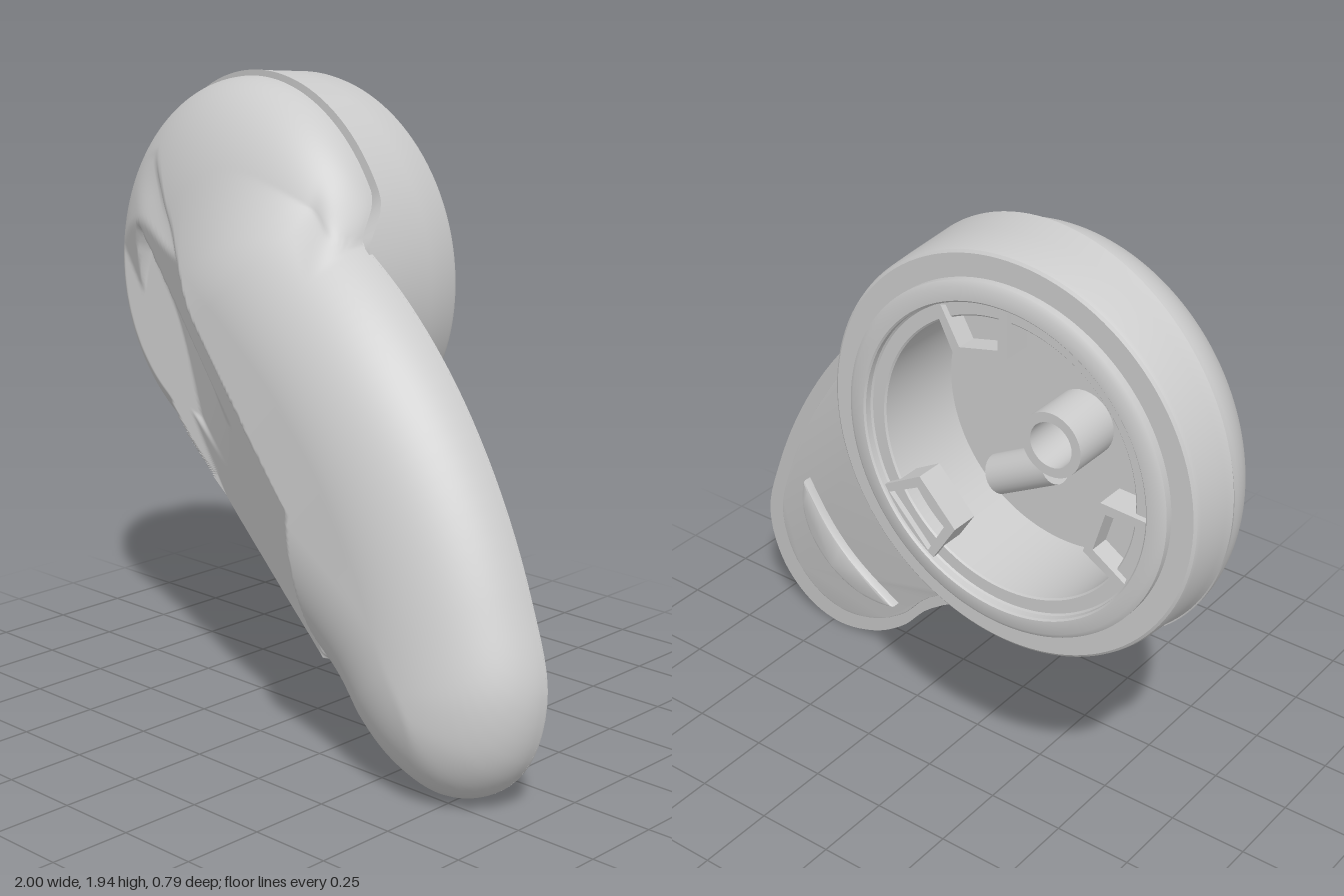
import * as THREE from 'three';
import { toCreasedNormals } from 'three/addons/utils/BufferGeometryUtils.js';

const V = (x, y) => new THREE.Vector2(x, y);
const { smoothstep, lerp, clamp } = THREE.MathUtils;
const CX = -0.37, CY = 1.315;                    // housing axis
const DOME = { x: -0.385, y: 1.308, r: 0.613 };
const AX = 0.727, AY = -0.687;                   // direction along the arm

// outline of the arm; its upper end runs under the dome
const armOutline = new THREE.CatmullRomCurve3([
  [0.2, 1.485], [0.4, 1.335], [0.6, 1.13], [0.78, 0.875], [0.92, 0.6], [1, 0.36], [0.965, 0.16],
  [0.86, 0.04], [0.73, 0], [0.56, 0.04], [0.42, 0.13], [0.3, 0.255], [0, 0.45], [-0.37, 0.69],
  [-0.58, 0.88], [-0.7, 1.1], [-0.71, 1.38], [-0.64, 1.6], [-0.5, 1.72], [-0.3, 1.735], [-0.05, 1.64],
].map(([x, y]) => new THREE.Vector3(x, y, 0)), true).getPoints(110).slice(0, -1).map((p) => V(p.x, p.y));

const panel = [V(-0.66, 1.69), V(0.22, 0.77), V(0.285, 0.25), V(0.2, 0.1), V(-1.1, 0.6), V(-1.1, 1.6)];
const scoop = [V(-0.69, 1.45), V(-0.18, 0.91), V(-0.22, 0.71), V(-0.755, 1.045), V(-0.762, 1.2), V(-0.74, 1.38), V(-0.72, 1.44)];

// signed distance to a polygon, positive inside
function inset(poly, x, y) {
  let best = Infinity, inside = false;
  for (let i = 0, j = poly.length - 1; i < poly.length; j = i++) {
    const a = poly[i], b = poly[j], ex = b.x - a.x, ey = b.y - a.y;
    const t = clamp(((x - a.x) * ex + (y - a.y) * ey) / (ex * ex + ey * ey), 0, 1);
    best = Math.min(best, Math.hypot(x - a.x - ex * t, y - a.y - ey * t));
    if ((a.y > y) !== (b.y > y) && x < a.x + (ex * (y - a.y)) / ey) inside = !inside;
  }
  return inside ? best : -best;
}
const along = (x, y) => x * AX + y * AY;
const across = (x, y) => y * AX - x * AY;
const backZ = (x, y) => 0.145 + 0.08 * along(x, y) - 0.043 * across(x, y);
const domeR = (x, y) => Math.hypot(x - DOME.x, y - DOME.y) / DOME.r;
const rounded = (d, w) => Math.sqrt(1 - (1 - clamp(d / w, 0, 1)) ** 2);

// slanted seam of the dome, running up to the arm at the upper notch
function seamZ(x, y, d) {
  return lerp(-0.21 + 0.115 * (x + 1), backZ(x, y), smoothstep(d, -0.09, 0) * smoothstep(x, 0.05, 0.2));
}

// height of the front shell: dome and arm blended, then panel and scoop cut in
function frontZ(x, y) {
  const r = domeR(x, y), d = inset(armOutline, x, y), s = along(x, y), n = across(x, y), back = backZ(x, y);
  const H = (0.265 + 0.018 * Math.exp(-(((s + 0.5) / 0.4) ** 2))) * smoothstep(s, -1.75, -1);
  const dome = r <= 1 ? seamZ(x, y, d) + 0.33 * Math.sqrt(1 - r * r) : -1;
  const arm = d >= 0 ? back + H * rounded(d, 0.36) : -1;
  const k = 0.06, h = Math.max(k - Math.abs(dome - arm), 0) / k;
  let z = Math.max(dome, arm) + h * h * k / 4;
  const ip = inset(panel, x, y);
  if (ip > 0) {
    // flat facet with a crisp lower edge and a small step along its upper edge
    const full = d > 0 ? Math.max(z, back + H * rounded(d, 0.08) * smoothstep(s, -1.1, -0.5)) : z;
    const flat = 0.32 + 0.15 * (s + 0.37) + 0.4 * (n - 0.72);
    const step = 0.02 * smoothstep(n, 0.6, 0.74) * smoothstep(s, -1.7, -1.5);
    const cut = Math.min(full - step, Math.max(flat, back + 0.01));
    z = lerp(z, cut, smoothstep(ip, 0, 0.02));
  }
  const is = inset(scoop, x, y);
  if (is > 0) {
    const depth = 0.05 * (1 - smoothstep(s, -1.3, -0.7));
    z = Math.min(z, Math.max(back + 0.01, z - depth * smoothstep(is, 0, 0.025)));
  }
  return z;
}

// polar grid over the joined outline of dome and arm
function shellGeometry() {
  const N = 360, M = 100, oy = 0.9, pos = [], idx = [], reach = [];
  for (let i = 0; i < N; i++) {
    const a = (i / N) * Math.PI * 2;
    let lo = 0, hi = 2;
    for (let q = 0; q < 24; q++) {
      const m = (lo + hi) / 2, x = m * Math.cos(a), y = oy + m * Math.sin(a);
      if (domeR(x, y) <= 1 || inset(armOutline, x, y) >= 0) lo = m; else hi = m;
    }
    reach.push(lo);
  }
  for (let j = 0; j <= M; j++) {
    const t = 1 - (1 - j / M) ** 1.5;
    for (let i = 0; i < N; i++) {
      const a = (i / N) * Math.PI * 2;
      const x = t * reach[i] * Math.cos(a), y = oy + t * reach[i] * Math.sin(a);
      pos.push(x, y, frontZ(x, y));
      if (j === M) continue;
      const p = j * N + i, q = j * N + (i + 1) % N;
      if (j) idx.push(p, p + N, q);
      idx.push(q, p + N, q + N);
    }
  }
  const g = new THREE.BufferGeometry();
  g.setAttribute('position', new THREE.Float32BufferAttribute(pos, 3));
  g.setIndex(idx);
  g.computeVertexNormals();
  return g;
}

// round housing: floor, bore, stepped lip, outer wall up to the seam
function housingGeometry() {
  const profile = [
    [0, -0.06], [0.42, -0.06], [0.42, -0.355], [0.425, -0.36], [0.465, -0.36], [0.47, -0.365], [0.47, -0.385],
    [0.475, -0.39], [0.515, -0.39], [0.53, -0.38], [0.53, -0.358], [0.597, -0.358], [0.605, -0.352], [0.609, -0.34],
    [0.617, -0.23], [0.625, 0], [0.57, 0]];
  const g = new THREE.LatheGeometry(profile.map(([r, z]) => V(r, z)), 120);
  g.rotateX(Math.PI / 2).translate(CX, CY, 0);
  const p = g.attributes.position, rows = profile.length;
  for (let i = 0; i < p.count; i++) {
    if (i % rows < rows - 2) continue;
    const x = p.getX(i), y = p.getY(i), a = Math.atan2(y - CY, x - CX);
    const rx = CX + 0.615 * Math.cos(a), ry = CY + 0.615 * Math.sin(a), d = inset(armOutline, rx, ry);
    p.setZ(i, lerp(seamZ(rx, ry, d), backZ(rx, ry) + 0.01, smoothstep(d, -0.02, 0.01)));
  }
  return toCreasedNormals(g, 0.6);
}

// flat part lying on the sloped back of the arm
function backPlate(points, depth, bevel) {
  const g = new THREE.ExtrudeGeometry(new THREE.Shape(points), {
    depth: depth - bevel, bevelEnabled: bevel > 0, bevelThickness: bevel, bevelSize: bevel, bevelOffset: -bevel, bevelSegments: 2 });
  const p = g.attributes.position;
  for (let i = 0; i < p.count; i++) {
    p.setZ(i, Math.max(-0.03, p.getZ(i) - depth + backZ(p.getX(i), p.getY(i))));
  }
  return toCreasedNormals(g, 0.6);
}

export function createModel() {
  const group = new THREE.Group();
  const mat = new THREE.MeshStandardMaterial({ color: 0xcccccc });
  const open = new THREE.MeshStandardMaterial({ color: 0xcccccc, side: THREE.DoubleSide });
  const add = (name, geometry, material = mat) => {
    const m = new THREE.Mesh(geometry, material);
    m.name = name;
    group.add(m);
    return m;
  };

  add('frontShell', shellGeometry(), open);
  add('housing', housingGeometry(), open);

  // back of the arm: rim flange and raised inner plate
  add('armBackFlange', backPlate(armOutline, 0.006, 0));
  add('armBackPlate', backPlate(armOutline.map((p) => V(0.24 + (p.x - 0.24) * 0.9, 0.8 + (p.y - 0.8) * 0.9)), 0.016, 0.004));

  // crescent hook near the tip
  const hook = [], mid = Math.atan2(AY, AX);
  for (let i = 0; i <= 20; i++) {
    const a = mid - 1.15 + (2.3 * i) / 20;
    hook.push(V(0.51 + 0.28 * Math.cos(a), 0.5 + 0.28 * Math.sin(a)));
  }
  for (let i = 1; i < 12; i++) {
    const t = i / 12, bulge = 0.05 * Math.sin(Math.PI * t);
    const p = hook[20].clone().lerp(hook[0], t);
    hook.push(V(p.x + AX * bulge, p.y + AY * bulge));
  }
  add('tipHook', backPlate(hook, 0.045, 0.008));

  // three locking pockets around the bore
  const pocketShape = new THREE.Shape([V(0.31, -0.09), V(0.472, -0.13), V(0.472, 0.13), V(0.31, 0.09)]);
  pocketShape.holes.push(new THREE.Path([V(0.335, -0.065), V(0.335, 0.065), V(0.455, 0.1), V(0.455, -0.1)]));
  const pocket = new THREE.ExtrudeGeometry(pocketShape, { depth: 0.09, bevelEnabled: false });
  const pocketFloor = new THREE.BoxGeometry(0.14, 0.18, 0.015);
  pocketFloor.translate(0.39, 0, 0.07);
  for (let i = 0; i < 3; i++) {
    const a = Math.PI / 2 - 0.24 + (i * Math.PI * 2) / 3;
    for (const [name, geo] of [['lockPocket', pocket], ['lockPocketFloor', pocketFloor]]) {
      const m = add(name, geo);
      m.position.set(CX, CY, -0.378);
      m.rotation.z = a;
    }
  }

  // hollow boss and cross pin inside the housing
  const boss = new THREE.LatheGeometry([V(0.07, -0.06), V(0.07, -0.22), V(0.1, -0.22), V(0.1, -0.06)], 32);
  boss.rotateX(Math.PI / 2).translate(CX - 0.05, CY, 0);
  add('boss', toCreasedNormals(boss, 0.6), open);
  const pin = new THREE.CylinderGeometry(0.06, 0.06, 0.22, 24);
  pin.rotateZ(Math.PI / 2 - 0.5).translate(CX + 0.1, CY - 0.18, -0.12);
  add('crossPin', pin);

  // rim of the small hole in the lower wall
  const hole = add('sideHoleRim', new THREE.TorusGeometry(0.045, 0.008, 8, 28));
  const ha = -Math.PI / 2 - 0.33;
  hole.position.set(CX + 0.614 * Math.cos(ha), CY + 0.614 * Math.sin(ha), -0.24);
  hole.lookAt(CX, CY, -0.24);
  return group;
}
